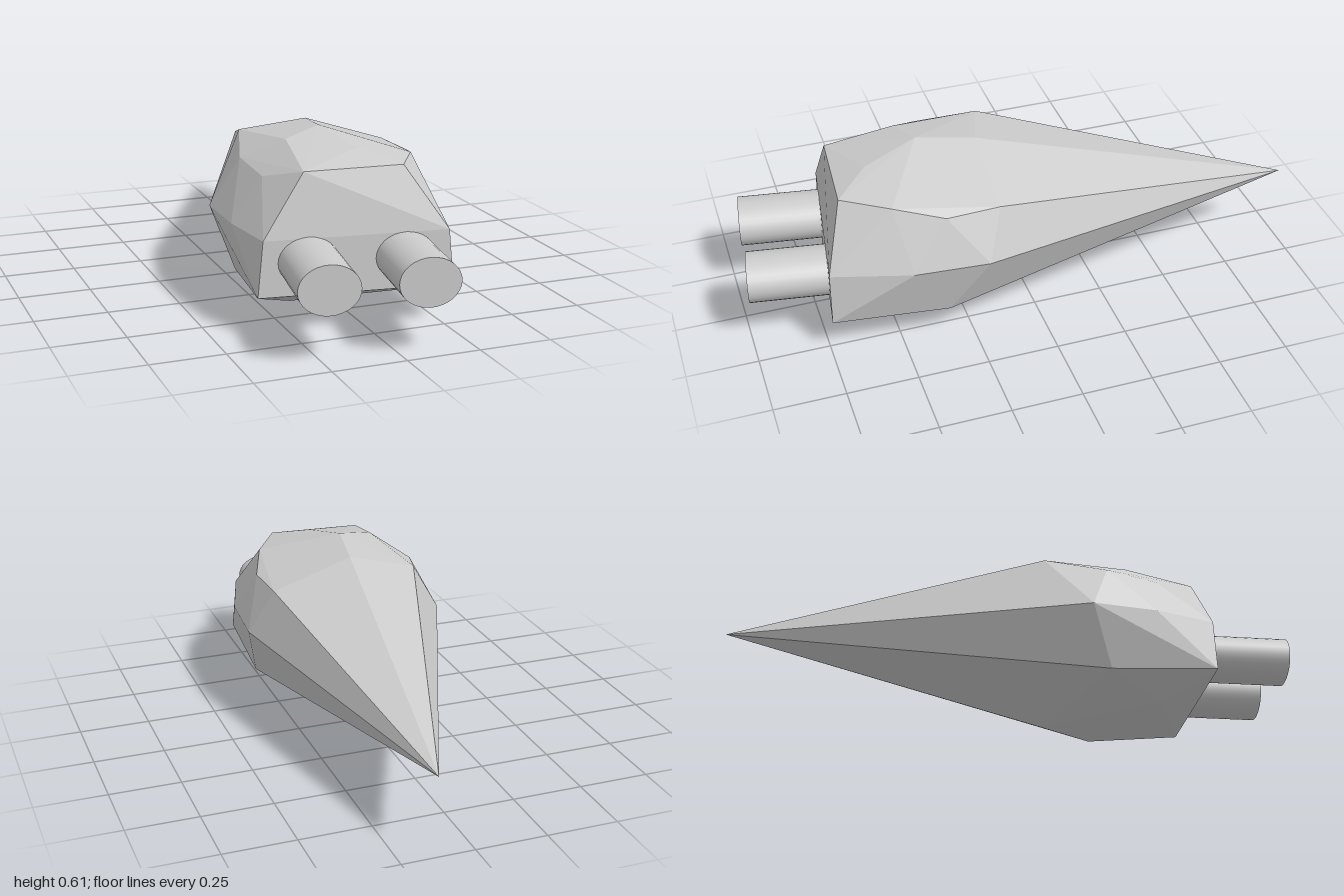
import * as THREE from 'three';
import { ConvexGeometry } from 'three/addons/geometries/ConvexGeometry.js';

const material = new THREE.MeshStandardMaterial({ color: 0xcccccc, flatShading: true });
const smooth = new THREE.MeshStandardMaterial({ color: 0xcccccc });

// Corners of the faceted body, grouped by area
const corners = [
  // flat snout face: bottom, middle and top pairs
  [-0.36, 0.13, 0.65], [0.285, 0.13, 0.74],
  [-0.342, 0.317, 0.65], [0.268, 0.317, 0.735],
  [-0.2, 0.527, 0.635], [0.135, 0.527, 0.66],
  // crown
  [-0.034, 0.605, 0.345], [-0.17, 0.578, 0.395], [0.025, 0.565, 0.54],
  [0, 0.583, 0.14], [-0.22, 0.545, 0.07],
  // shoulders
  [-0.29, 0.5, 0.28], [-0.28, 0.48, 0.47],
  [0.235, 0.523, 0.5], [0.298, 0.488, 0.33], [0.29, 0.488, 0.14],
  // widest belt
  [-0.373, 0.32, 0.2], [-0.373, 0.32, 0.43],
  [0.372, 0.32, 0.2], [0.352, 0.32, 0.46],
  // belly
  [0.312, 0.11, 0.33], [0.178, 0.032, 0.35], [0.012, 0, 0.12],
  [-0.195, 0.053, 0.5], [-0.31, 0.11, 0.28],
  // long pointed tail
  [0.13, 0.28, -1],
];

export function createModel() {
  const model = new THREE.Group();

  const body = new THREE.Mesh(
    new ConvexGeometry(corners.map((p) => new THREE.Vector3(...p))), material);
  body.name = 'body';
  model.add(body);

  // Two oval pegs leaving the snout face, turned with the body
  const length = 0.42;
  const pegs = [
    ['rightPeg', -0.24, 0.241, 0.955],
    ['leftPeg', 0.081, 0.237, 0.985],
  ];
  for (const [name, x, y, z] of pegs) {
    const geometry = new THREE.CylinderGeometry(1, 1, length, 32);
    geometry.rotateX(Math.PI / 2);
    geometry.scale(0.1, 0.081, 1);
    geometry.translate(0, 0, -length / 2);
    const peg = new THREE.Mesh(geometry, smooth);
    peg.name = name;
    peg.position.set(x, y, z);
    peg.rotation.y = -0.155;
    model.add(peg);
  }
  return model;
}
